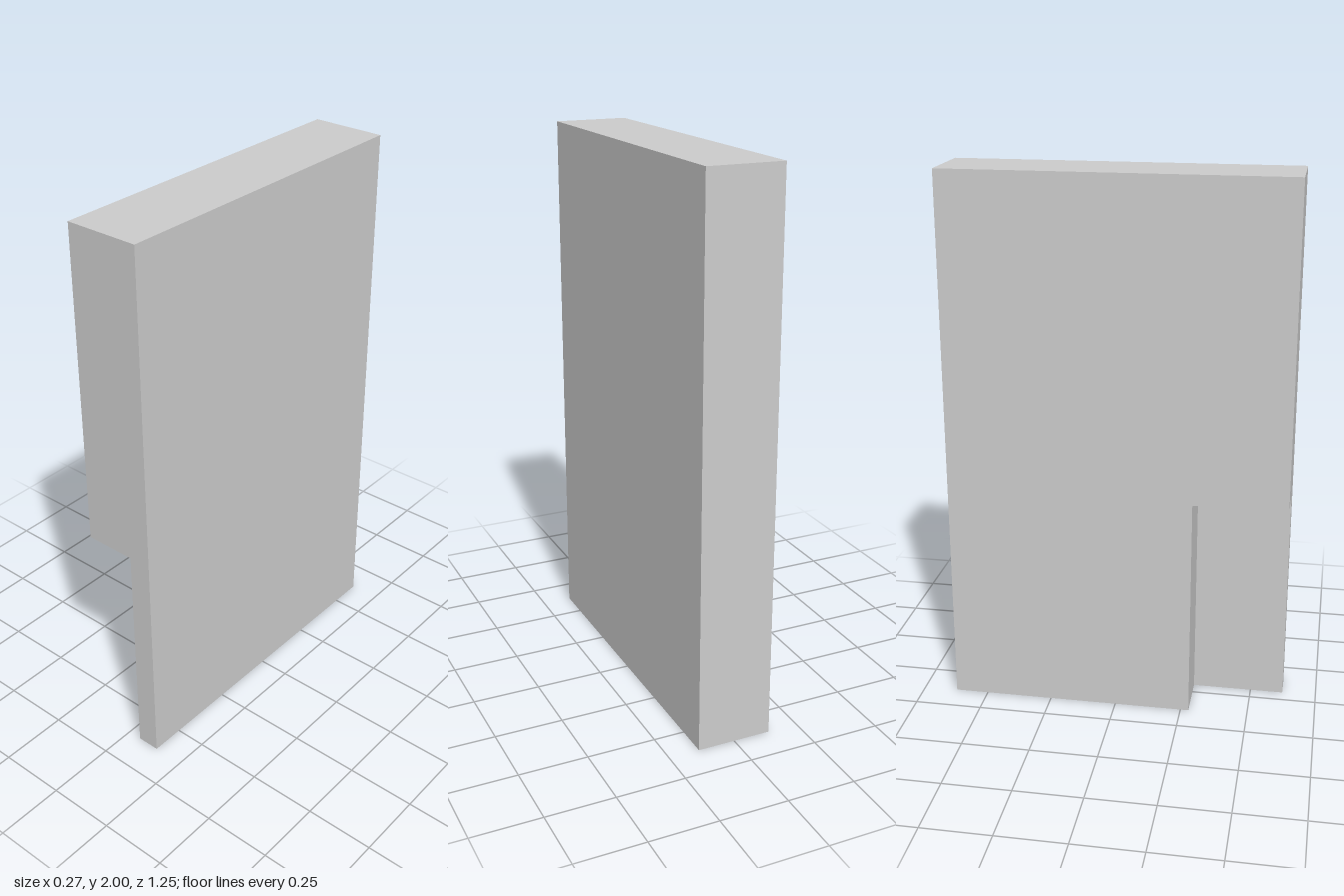
import * as THREE from 'three';

const HALF_X = 0.137, HALF_Z = 0.623, HEIGHT = 2;
const NOTCH_X = 0.053, NOTCH_Y = 0.835, NOTCH_Z = 0.28;

export function createModel() {
  const group = new THREE.Group();
  group.name = 'notchedPanel';
  const material = new THREE.MeshStandardMaterial({ color: 0xcccccc, flatShading: true });

  // Side profiles are drawn as (z, y) and extruded towards -x from xStart
  const addSlab = (name, points, xStart, xEnd) => {
    const shape = new THREE.Shape(points.map(([z, y]) => new THREE.Vector2(z, y)));
    const geometry = new THREE.ExtrudeGeometry(shape, { depth: xStart - xEnd, bevelEnabled: false });
    geometry.rotateY(-Math.PI / 2).translate(xStart, 0, 0);
    const mesh = new THREE.Mesh(geometry, material);
    mesh.name = name;
    group.add(mesh);
  };

  // Full rectangular face layer on the left side
  addSlab('faceLayer', [
    [-HALF_Z, 0], [HALF_Z, 0], [HALF_Z, HEIGHT], [-HALF_Z, HEIGHT],
  ], HALF_X, NOTCH_X);

  // Thicker layer with the lower front corner cut away
  addSlab('notchedLayer', [
    [-HALF_Z, 0], [NOTCH_Z, 0], [NOTCH_Z, NOTCH_Y], [HALF_Z, NOTCH_Y],
    [HALF_Z, HEIGHT], [-HALF_Z, HEIGHT],
  ], NOTCH_X, -HALF_X);

  return group;
}
